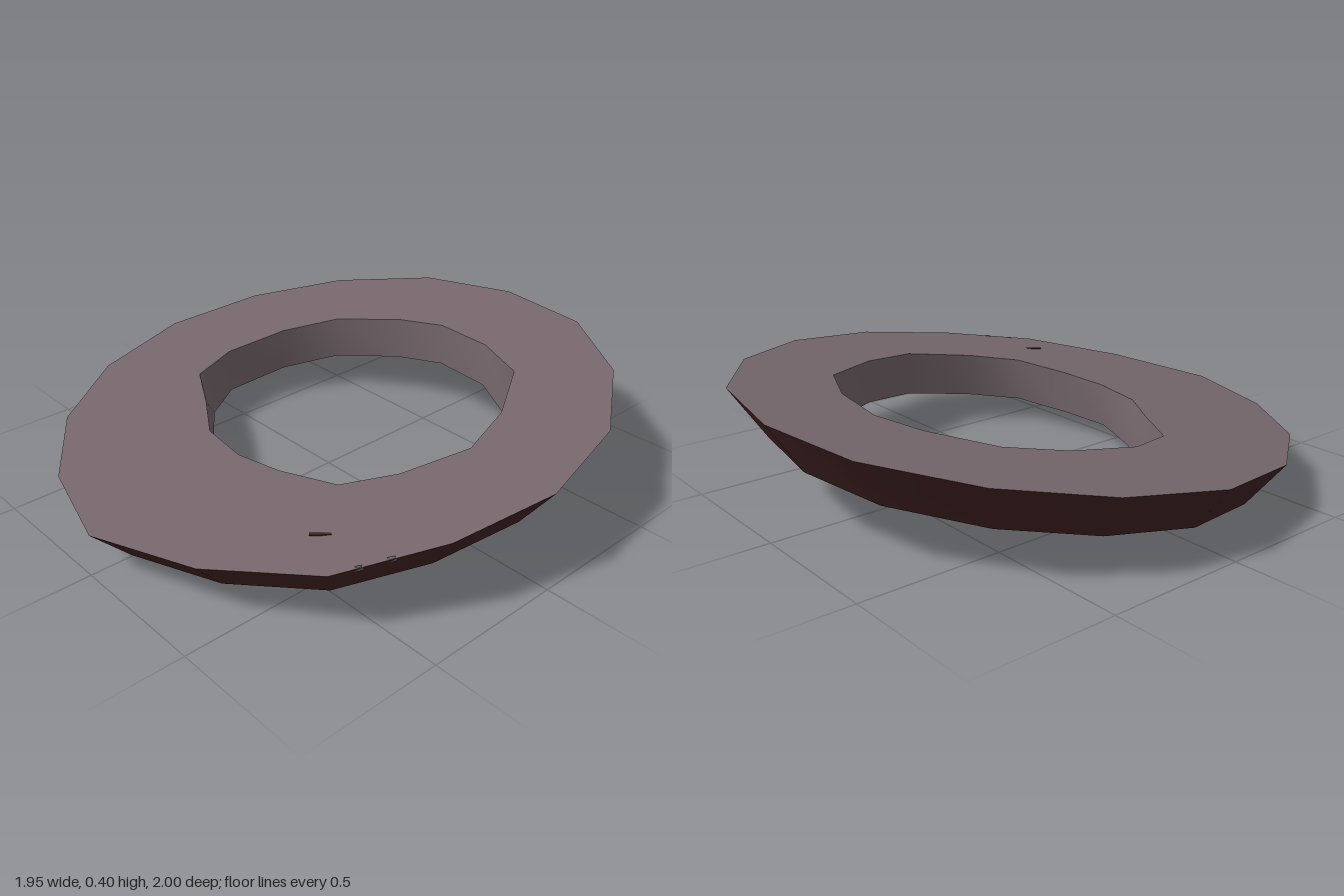
import * as THREE from 'three';

// Outlines as [x, z], running from the back round past +x
const RIM = [[-0.02, -1], [0.36, -0.94], [0.68, -0.72], [0.895, -0.4], [0.97, -0.03], [0.89, 0.33], [0.72, 0.655], [0.4, 0.875],
  [0.01, 0.995], [-0.36, 0.89], [-0.68, 0.67], [-0.895, 0.36], [-0.975, -0.015], [-0.895, -0.38], [-0.695, -0.69], [-0.385, -0.92]];
const HOLE_TOP = [[-0.04, -0.63], [0.2, -0.605], [0.41, -0.515], [0.55, -0.28], [0.61, -0.06], [0.53, 0.18], [0.42, 0.34], [0.21, 0.405],
  [0.03, 0.43], [-0.17, 0.4], [-0.34, 0.29], [-0.53, 0.18], [-0.58, 0], [-0.535, -0.24], [-0.43, -0.43], [-0.22, -0.57]];
const HOLE_LOW = [[-0.04, -0.635], [0.2, -0.605], [0.43, -0.475], [0.56, -0.28], [0.62, -0.06], [0.54, 0.18], [0.43, 0.35], [0.21, 0.42],
  [0.03, 0.45], [-0.18, 0.365], [-0.33, 0.275], [-0.49, 0.15], [-0.575, 0], [-0.54, -0.24], [-0.435, -0.435], [-0.22, -0.575]];

const TOP = 0.287, LOW = 0.121;

// Lift an outline onto the tilted plane at the given height
const onPlane = (outline, height) =>
  outline.map(([x, z]) => new THREE.Vector3(x, height + 0.048 * x - 0.12 * z, z));

// Closed band of faces between two matching loops, smooth within itself
function band(name, a, b, material) {
  const n = a.length, index = [];
  for (let i = 0; i < n; i++) {
    const j = (i + 1) % n;
    index.push(i, n + i, n + j, i, n + j, j);
  }
  const geometry = new THREE.BufferGeometry().setFromPoints([...a, ...b]);
  geometry.setIndex(index);
  geometry.computeVertexNormals();
  const mesh = new THREE.Mesh(geometry, material);
  mesh.name = name;
  return mesh;
}

export function createModel() {
  const grey = new THREE.MeshStandardMaterial({ color: 0x75676c });
  grey.name = 'mauve grey';
  const red = new THREE.MeshStandardMaterial({ color: 0x452425 });
  red.name = 'dark red';

  const rimTop = onPlane(RIM, TOP);
  const rimLow = onPlane(RIM.map(([x, z]) => [x * 0.873 - 0.007, z * 0.868 - 0.013]), LOW);
  const holeTop = onPlane(HOLE_TOP, TOP);
  const holeLow = onPlane(HOLE_LOW, LOW);

  const model = new THREE.Group();
  model.name = 'tiltedRing';
  model.add(
    band('topFace', rimTop, holeTop, grey),
    band('innerWall', holeTop, holeLow, grey),
    band('bottomFace', holeLow, rimLow, grey),
    band('outerWall', rimLow, rimTop, red),
  );

  // Small red scratch on the top face
  const [scratchAt] = onPlane([[0.575, 0.53]], TOP);
  const scratch = new THREE.Mesh(new THREE.BoxGeometry(0.1, 0.004, 0.012), red);
  scratch.name = 'scratch';
  scratch.position.copy(scratchAt);
  scratch.rotation.y = 0.85;
  model.add(scratch);

  // Two small grey studs just under the rim
  const outward = new THREE.Vector3(0.7, -0.6, 0.37).normalize();
  for (const [x, y, z] of [[0.75, 0.242, 0.565], [0.795, 0.256, 0.48]]) {
    const stud = new THREE.Mesh(new THREE.CylinderGeometry(0.018, 0.018, 0.008, 10), grey);
    stud.name = 'rimStud';
    stud.position.set(x, y, z);
    stud.quaternion.setFromUnitVectors(new THREE.Vector3(0, 1, 0), outward);
    model.add(stud);
  }
  return model;
}
